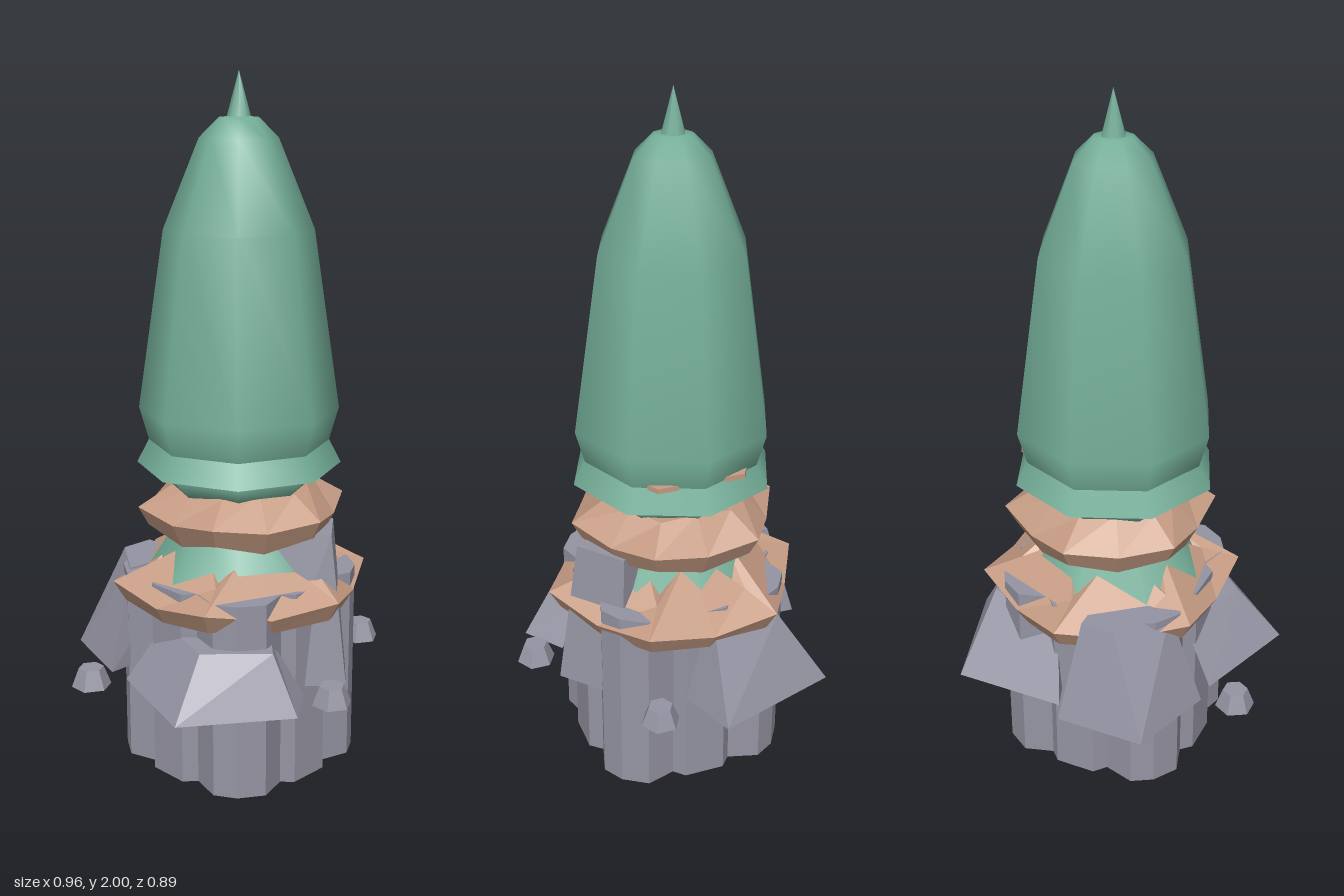
import * as THREE from 'three';

const CX = 0.02, CZ = -0.03; // trunk axis
const green = new THREE.MeshStandardMaterial({ name: 'leaf green', color: 0x74ae98, side: THREE.DoubleSide });
const tan = new THREE.MeshStandardMaterial({ name: 'clay tan', color: 0xc69c84 });
const grey = new THREE.MeshStandardMaterial({ name: 'stone grey', color: 0x9594a3 });

// Faceted solid from stacked loops of [x, y, z], counterclockwise from above, lowest first
function loft(name, loops, material) {
  const pos = [];
  const tri = (a, b, c) => pos.push(...a, ...b, ...c);
  const n = loops[0].length;
  for (let k = 0; k < loops.length - 1; k++) {
    for (let i = 0; i < n; i++) {
      const j = (i + 1) % n, lo = loops[k], hi = loops[k + 1];
      tri(lo[i], lo[j], hi[j]);
      tri(lo[i], hi[j], hi[i]);
    }
  }
  const centre = (l) => [0, 1, 2].map((c) => l.reduce((s, p) => s + p[c], 0) / n);
  const bottom = loops[0], top = loops[loops.length - 1];
  for (let i = 0; i < n; i++) {
    const j = (i + 1) % n;
    tri(centre(bottom), bottom[j], bottom[i]);
    tri(centre(top), top[i], top[j]);
  }
  const g = new THREE.BufferGeometry();
  g.setAttribute('position', new THREE.Float32BufferAttribute(pos, 3));
  g.computeVertexNormals();
  const m = new THREE.Mesh(g, material);
  m.name = name;
  return m;
}

// Smooth eight-sided turned part
function turned(name, profile) {
  const g = new THREE.LatheGeometry(profile.map(([r, y]) => new THREE.Vector2(r, y)), 8);
  const m = new THREE.Mesh(g, green);
  m.name = name;
  m.position.set(CX, 0, CZ);
  return m;
}

// Six-cornered collar: [radius, height] sections at the corners and between them
function collar(name, x, corner, between) {
  const loops = corner.map((_, k) => Array.from({ length: 12 }, (_, i) => {
    const [r, y] = (i % 2 ? between : corner)[k];
    const a = i * Math.PI / 6;
    return [x + r * Math.sin(a), y, CZ + r * Math.cos(a)];
  }));
  return loft(name, loops, tan);
}

// Tapered rock from [x, z] outlines at two heights
function rock(name, y0, low, y1, high) {
  const lift = (pts, y) => pts.map(([x, z]) => [x, y, z]);
  return loft(name, [lift(low, y0), lift(high, y1)], grey);
}

// Six-sided flat-shaded drum
function drum(name, rTop, rBottom, height, material, x, y, z) {
  const g = new THREE.CylinderGeometry(rTop, rBottom, height, 6).toNonIndexed();
  g.computeVertexNormals();
  const m = new THREE.Mesh(g, material);
  m.name = name;
  m.position.set(x, y, z);
  return m;
}

export function createModel() {
  const model = new THREE.Group();

  // Lobed stone column: one quarter outline turned four times
  const quarter = [[-0.06, 0.29], [0.06, 0.29], [0.09, 0.255], [0.18, 0.28],
    [0.24, 0.245], [0.285, 0.175], [0.26, 0.09]];
  const outline = [];
  for (let q = 0; q < 4; q++) {
    const c = Math.cos(q * Math.PI / 2), s = Math.sin(q * Math.PI / 2);
    for (const [x, z] of quarter) outline.push([CX + x * c + z * s, CZ - x * s + z * c]);
  }
  model.add(rock('stoneColumn', 0, outline, 0.58, outline));

  // Rocks leaning on the column
  model.add(rock('backRightRock', 0.29,
    [[-0.255, -0.45], [-0.335, -0.2], [0, -0.2], [0.005, -0.45]], 0.585,
    [[-0.135, -0.37], [-0.24, -0.22], [-0.03, -0.2], [-0.035, -0.37]]));
  model.add(rock('backLeftRock', 0.29,
    [[0.36, -0.395], [0.03, -0.395], [0.2, 0.07], [0.48, -0.03]], 0.52,
    [[0.31, -0.25], [0.1, -0.25], [0.2, 0], [0.35, -0.04]]));
  model.add(rock('frontRightRock', 0.29,
    [[-0.335, -0.135], [-0.44, 0.19], [-0.165, 0.385], [-0.05, 0.3]], 0.45,
    [[-0.23, -0.08], [-0.31, 0.15], [-0.165, 0.29], [-0.1, 0.22]]));
  model.add(rock('frontRock', 0.29,
    [[0.08, 0.345], [0.24, 0.2], [0.1, 0], [-0.06, 0.2]], 0.73,
    [[0.08, 0.28], [0.2, 0.18], [0.1, 0.05], [-0.01, 0.15]]));

  // Loose pebbles
  for (const [x, z] of [[-0.43, -0.177], [0.38, 0.137], [-0.03, 0.388]]) {
    model.add(drum('pebble', 0.036, 0.057, 0.055, grey, x, 0.3175, z));
  }

  // Tan collars, rising to a peak between each pair of corners
  model.add(collar('lowerCollar', 0.03,
    [[0.24, 0.51], [0.35, 0.5], [0.385, 0.56], [0.27, 0.6]],
    [[0.24, 0.49], [0.31, 0.48], [0.338, 0.53], [0.14, 0.7]]));
  model.add(collar('upperCollar', 0.033,
    [[0.17, 0.72], [0.28, 0.725], [0.31, 0.78], [0.21, 0.84]],
    [[0.17, 0.69], [0.24, 0.69], [0.275, 0.76], [0.19, 0.85]]));
  model.add(drum('crownCollar', 0.255, 0.255, 0.015, tan, 0.034, 0.966, CZ));

  // Green stem showing between the collars
  model.add(turned('lowerSkirt', [[0.28, 0.56], [0.16, 0.75]]));
  model.add(turned('neck', [[0.2, 0.83], [0.235, 0.87], [0.22, 0.91]]));

  // Flared rim, tall crown and pointed tip
  model.add(turned('rimUnderside', [[0.21, 0.91], [0.296, 0.896]]));
  model.add(turned('rim', [[0.296, 0.896], [0.26, 0.966]]));
  model.add(turned('crown',
    [[0.26, 0.96], [0.288, 1.06], [0.212, 1.57], [0.11, 1.82], [0.055, 1.875], [0, 1.88]]));
  model.add(turned('tip', [[0.035, 1.87], [0, 2]]));
  return model;
}
